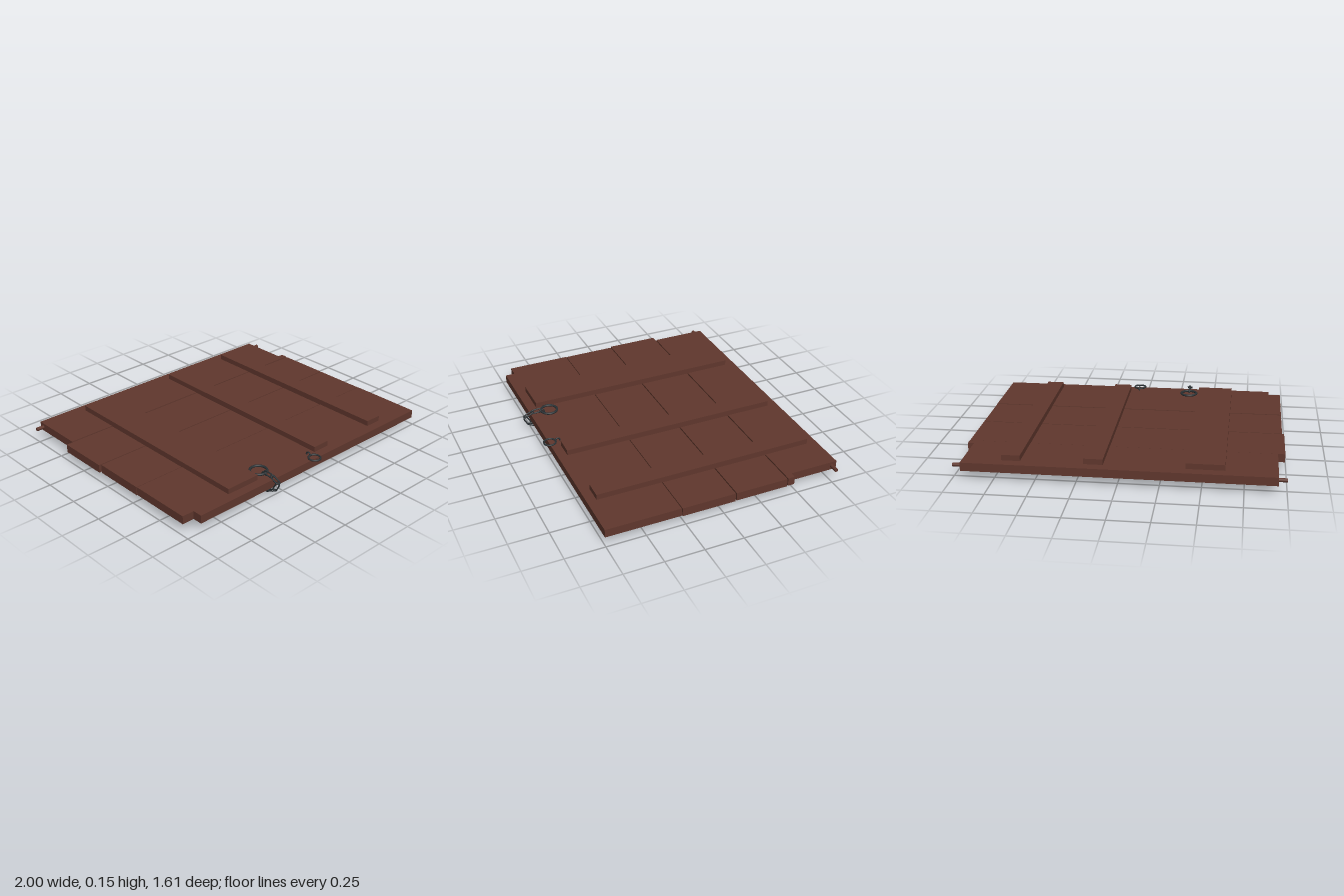
import * as THREE from 'three';

const wood = new THREE.MeshStandardMaterial({ color: 0x60372d });
wood.name = 'red brown wood';
const iron = new THREE.MeshStandardMaterial({ color: 0x2b3134 });
iron.name = 'dark iron';

export function createModel() {
  const root = new THREE.Group();
  root.name = 'hatch';

  function add(name, geometry, material, x = 0, y = 0, z = 0) {
    const mesh = new THREE.Mesh(geometry, material);
    mesh.name = name;
    mesh.position.set(x, y, z);
    root.add(mesh);
    return mesh;
  }

  // Plank from an outline of [x, z] corners, raised from y0 to y1
  function plank(name, outline, y0, y1) {
    const shape = new THREE.Shape(outline.map(([x, z]) => new THREE.Vector2(x, -z)));
    const geo = new THREE.ExtrudeGeometry(shape, { depth: y1 - y0, bevelEnabled: false });
    geo.rotateX(-Math.PI / 2);
    add(name, geo, wood, 0, y0, 0);
  }
  const rect = (x0, x1, z0, z1) => [[x0, z0], [x1, z0], [x1, z1], [x0, z1]];

  // Four boards, the outer two notched at a corner
  plank('frontPlank', [[-0.98, 0.27], [0.985, 0.27], [0.985, 0.748], [-0.9, 0.748],
    [-0.9, 0.685], [-0.98, 0.685]], 0.057, 0.11);
  plank('frontMiddlePlank', rect(-0.98, 0.985, -0.083, 0.264), 0.052, 0.108);
  plank('backMiddlePlank', rect(-0.993, 0.985, -0.434, -0.09), 0.055, 0.108);
  plank('backPlank', [[-0.948, -0.805], [0.946, -0.805], [0.946, -0.484], [0.985, -0.484],
    [0.985, -0.44], [-0.948, -0.44]], 0.057, 0.11);

  // Battens across the boards
  for (const [x0, x1] of [[-0.636, -0.519], [-0.519, -0.402], [0.09, 0.208], [0.593, 0.707]])
    plank('batten', rect(x0, x1, -0.738, 0.688), 0.108, 0.145);

  // Hinge pins
  for (const side of [-1, 1]) {
    const pin = add('hingePin', new THREE.CylinderGeometry(0.012, 0.012, 0.08, 12), wood,
      side * 0.96, 0.083, -0.773);
    pin.rotation.z = Math.PI / 2;
  }

  // Pull rings lying on the boards
  function ring(name, x, y, z, radius, tube) {
    const mesh = add(name, new THREE.TorusGeometry(radius, tube, 10, 32), iron, x, y, z);
    mesh.rotation.x = Math.PI / 2;
  }
  ring('largeRing', -0.332, 0.12, 0.622, 0.053, 0.008);
  ring('smallRing', 0.032, 0.115, 0.742, 0.038, 0.006);

  // Staple eyes standing across each ring
  for (const [x, z] of [[-0.332, 0.672], [0.032, 0.69]]) {
    const eye = add('stapleEye', new THREE.TorusGeometry(0.016, 0.005, 8, 16), iron, x, 0.115, z);
    eye.rotation.y = Math.PI / 2;
  }

  // Chain: oval links between [z, y] end points, alternately upright and flat
  function link(a, b, turned) {
    const length = Math.hypot(b[0] - a[0], b[1] - a[1]);
    const half = length / 2 - 0.005, w = 0.0125, points = [];
    for (let i = 0; i < 20; i++) {
      const t = (i / 20) * Math.PI * 2;
      const s = Math.sign(Math.cos(t)) * (half - w);
      points.push(new THREE.Vector3(0, w * Math.sin(t), s + w * Math.cos(t)));
    }
    const curve = new THREE.CatmullRomCurve3(points, true);
    const geo = new THREE.TubeGeometry(curve, 40, 0.0047, 8, true);
    if (turned) geo.rotateZ(Math.PI / 2);
    geo.rotateX(-Math.atan2(b[1] - a[1], b[0] - a[0]));
    add('chainLink', geo, iron, -0.332, (a[1] + b[1]) / 2, (a[0] + b[0]) / 2);
  }
  link([0.67, 0.133], [0.75, 0.127], false);
  link([0.728, 0.134], [0.802, 0.1], true);
  link([0.794, 0.106], [0.756, 0.037], false);
  link([0.772, 0.046], [0.698, 0.017], true);
  link([0.714, 0.019], [0.629, 0.018], false);
  link([0.642, 0.017], [0.566, 0.042], false);

  return root;
}
